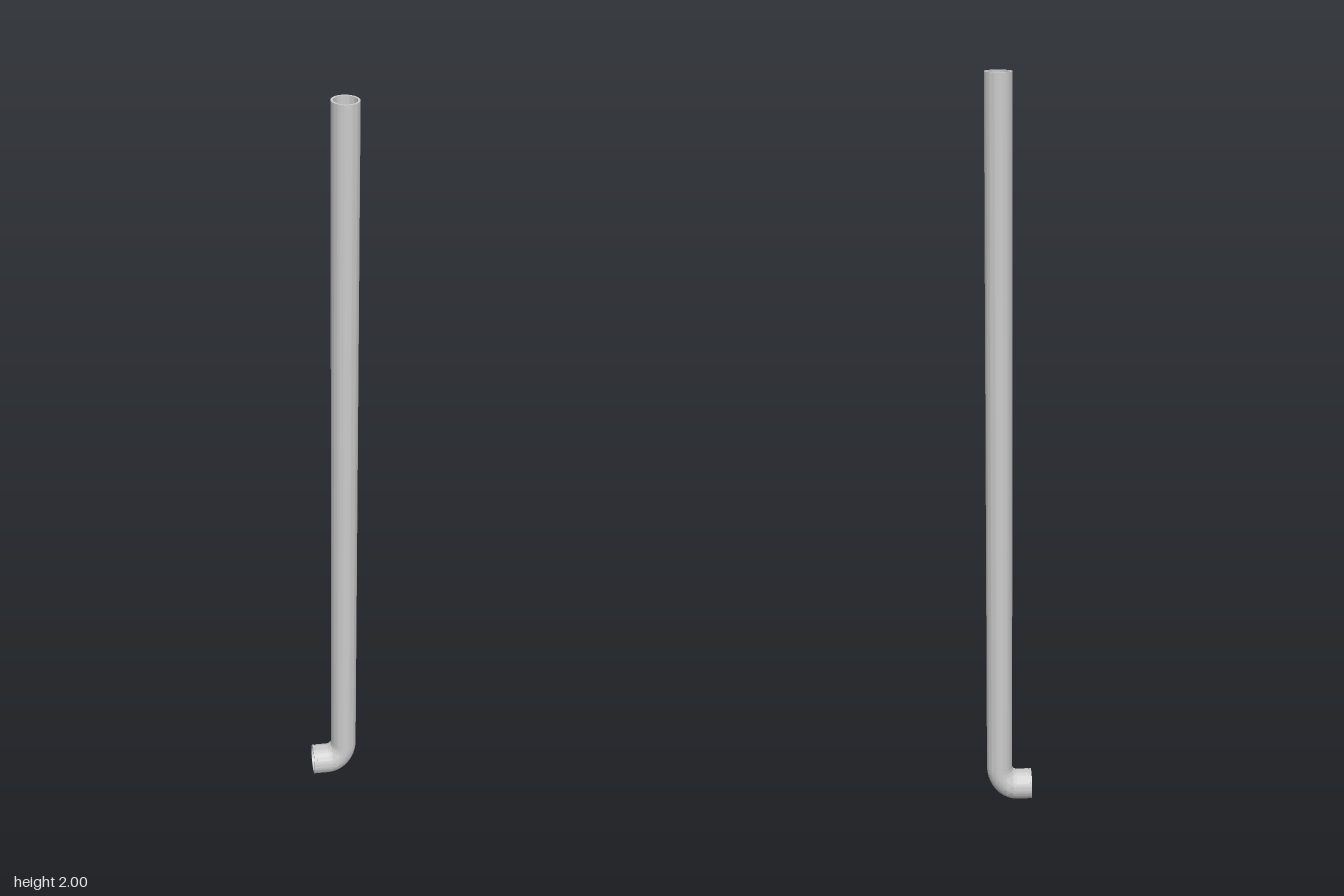
import * as THREE from 'three';
import { toCreasedNormals } from 'three/addons/utils/BufferGeometryUtils.js';

const SIDES = 64;
const OUTER = 0.0415, INNER = 0.0345;   // pipe radii
const BEND = 0.058;                     // centreline radius of the elbow
const SQUASH = 0.85;                    // the pipe is slightly flattened along x
const CX = -0.0266, CY = OUTER + BEND;  // centre of the bend
const END_X = -0.073, TOP_Y = 2;

// Stations: centre, outward direction of the bend and ring radius
const level = (x, r) => ({ x, y: CY - BEND, nx: 0, ny: -1, r });
const upright = (y, r) => ({ x: CX + BEND, y, nx: 1, ny: 0, r });
function bend(r, steps = 20) {
  return Array.from({ length: steps + 1 }, (_, i) => {
    const a = (i / steps) * Math.PI / 2, nx = Math.sin(a), ny = -Math.cos(a);
    return { x: CX + BEND * nx, y: CY + BEND * ny, nx, ny, r };
  });
}

// Skin a row of circular stations
function skin(stations) {
  const pos = [], index = [], row = SIDES + 1;
  stations.forEach(({ x, y, nx, ny, r }, i) => {
    for (let j = 0; j <= SIDES; j++) {
      const t = ((j % SIDES) / SIDES) * Math.PI * 2, c = r * Math.cos(t);
      pos.push((x + nx * c) * SQUASH, y + ny * c, r * Math.sin(t));
      if (i && j) {
        const d = i * row + j, c1 = d - 1, b = d - row, a = b - 1;
        index.push(a, c1, b, b, c1, d);
      }
    }
  });
  const geo = new THREE.BufferGeometry();
  geo.setAttribute('position', new THREE.Float32BufferAttribute(pos, 3));
  geo.setIndex(index);
  return toCreasedNormals(geo, Math.PI / 5);
}

export function createModel() {
  const group = new THREE.Group();
  const material = new THREE.MeshStandardMaterial({ color: 0xcccccc, side: THREE.DoubleSide });
  const add = (name, stations) => {
    const mesh = new THREE.Mesh(skin(stations), material);
    mesh.name = name;
    group.add(mesh);
  };

  // Long hollow pipe, open at the top
  add('straightPipe', [
    upright(CY, OUTER), upright(TOP_Y, OUTER),
    upright(TOP_Y, INNER), upright(CY, INNER),
  ]);

  // Elbow: bore, open mouth, lip with a shallow groove, then outer skin
  add('elbow', [
    ...bend(INNER).reverse(),
    level(END_X, INNER), level(END_X, OUTER),
    level(END_X + 0.006, OUTER), level(END_X + 0.006, OUTER - 0.0015),
    level(END_X + 0.009, OUTER - 0.0015), level(END_X + 0.009, OUTER),
    ...bend(OUTER),
  ]);

  return group;
}
